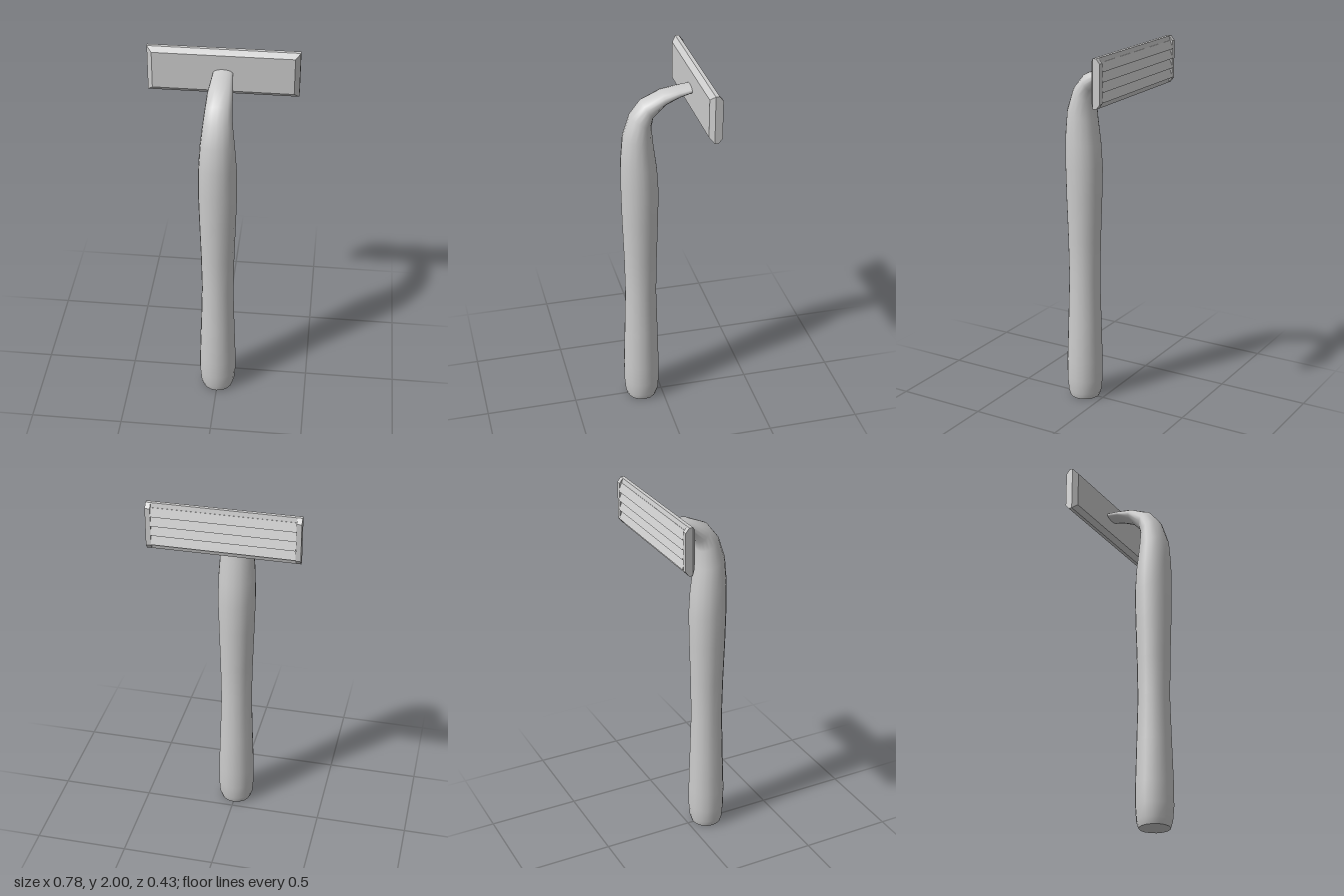
import * as THREE from 'three';

const material = new THREE.MeshStandardMaterial({ color: 0xcccccc });

// Skin over rings that run counter-clockwise about the direction of travel, with flat end caps
function loft(rings) {
  const n = rings[0].length;
  const pos = rings.flat(2);
  const index = [];
  for (let i = 0; i < rings.length - 1; i++) {
    for (let j = 0; j < n; j++) {
      const k = (j + 1) % n;
      const a = i * n + j, b = i * n + k, c = b + n, d = a + n;
      index.push(a, b, c, a, c, d);
    }
  }
  for (const [ring, flip] of [[rings[0], true], [rings[rings.length - 1], false]]) {
    const base = pos.length / 3;
    pos.push(...ring.flat());
    for (let j = 1; j < n - 1; j++) {
      index.push(base, base + (flip ? j + 1 : j), base + (flip ? j : j + 1));
    }
  }
  const g = new THREE.BufferGeometry();
  g.setAttribute('position', new THREE.Float32BufferAttribute(pos, 3));
  g.setIndex(index);
  return g;
}

function add(group, name, geometry) {
  const mesh = new THREE.Mesh(geometry, material);
  mesh.name = name;
  group.add(mesh);
}

// Handle: each row is front z, y; rear z, y; half width
function handleGeometry() {
  const rows = [
    [0.197, 0, 0.033, 0, 0.083],
    [0.207, 0.035, 0.022, 0.035, 0.095],
    [0.214, 0.11, 0.016, 0.11, 0.101],
    [0.214, 0.22, 0.016, 0.22, 0.101],
    [0.207, 0.45, 0.022, 0.45, 0.093],
    [0.2, 0.7, 0.029, 0.7, 0.086],
    [0.204, 0.92, 0.025, 0.92, 0.09],
    [0.212, 1.15, 0.018, 1.15, 0.097],
    [0.216, 1.35, 0.015, 1.32, 0.102],
    [0.215, 1.5, 0.023, 1.45, 0.099],
    [0.203, 1.64, 0.042, 1.59, 0.089],
    [0.165, 1.755, 0.053, 1.69, 0.077],
    [0.105, 1.832, 0.045, 1.74, 0.07],
    [0.0, 1.877, -0.015, 1.805, 0.065],
    [-0.08, 1.889, -0.09, 1.84, 0.057],
    [-0.165, 1.899, -0.165, 1.86, 0.05],
  ];
  const sides = 16;
  const g = loft(rows.map(([fz, fy, rz, ry, w]) =>
    Array.from({ length: sides }, (_, j) => {
      const t = (j / sides) * Math.PI * 2, c = Math.cos(t);
      return [w * Math.sin(t), (fy + ry + (fy - ry) * c) / 2, (fz + rz + (fz - rz) * c) / 2];
    })));
  g.computeVertexNormals();
  return g;
}

// Head body: bevelled plate with raised end rims around a shallow rear recess
function headGeometry() {
  const mid = 1.875, half = 0.125;
  const section = (x, front, inset, back) => {
    const h = half - inset, hb = half - 0.025;
    return [
      [x, mid + half, -0.173], [x, mid + h, front],
      [x, mid - h, front], [x, mid - half, -0.173],
      [x, mid - half, -0.192], [x, mid - hb, back],
      [x, mid + hb, back], [x, mid + half, -0.192],
    ];
  };
  const g = loft([
    section(-0.39, -0.173, 0, -0.212),
    section(-0.364, -0.15, 0.025, -0.212),
    section(-0.364, -0.15, 0.025, -0.199),
    section(0.364, -0.15, 0.025, -0.199),
    section(0.364, -0.15, 0.025, -0.212),
    section(0.39, -0.173, 0, -0.212),
  ]).toNonIndexed();
  g.computeVertexNormals();
  return g;
}

// Blades: saw-tooth strip of four slanted slats along the back
function bladeGeometry() {
  const count = 4, top = 1.977, step = 0.204 / count;
  const shape = new THREE.Shape();
  shape.moveTo(0.19, top);
  for (let i = 0; i < count; i++) {
    shape.lineTo(0.2, top - i * step);
    shape.lineTo(0.217, top - (i + 0.85) * step);
    shape.lineTo(0.2, top - (i + 0.95) * step);
  }
  shape.lineTo(0.19, top - count * step);
  const g = new THREE.ExtrudeGeometry(shape, { depth: 0.728, bevelEnabled: false });
  g.translate(0, 0, -0.364);
  g.rotateY(Math.PI / 2);
  return g;
}

export function createModel() {
  const group = new THREE.Group();
  group.name = 'razor';
  add(group, 'handle', handleGeometry());
  add(group, 'head', headGeometry());
  add(group, 'blades', bladeGeometry());
  return group;
}
